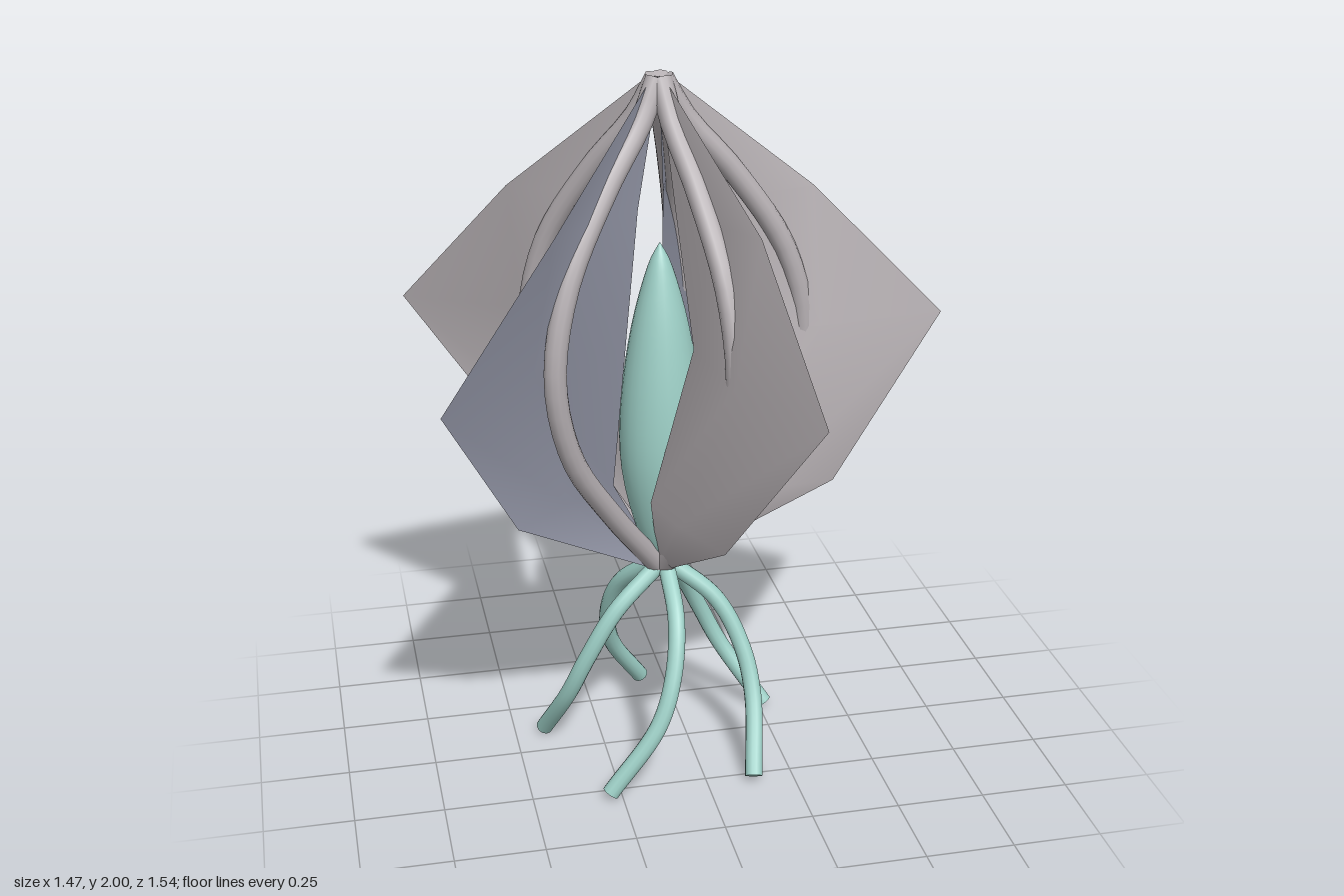
import * as THREE from 'three';
import { mergeGeometries } from 'three/addons/utils/BufferGeometryUtils.js';

const V = (p) => new THREE.Vector3(...p);
const material = (name, color, side = THREE.FrontSide) => {
  const m = new THREE.MeshStandardMaterial({ color, side });
  m.name = name;
  return m;
};

// Round tube along a smooth curve, closed with a disc at each end
function cappedTube(points, radius) {
  const curve = new THREE.CatmullRomCurve3(points.map(V));
  const parts = [new THREE.TubeGeometry(curve, 28, radius, 12)];
  for (const [u, sign] of [[0, -1], [1, 1]]) {
    const disc = new THREE.CircleGeometry(radius, 12);
    const dir = curve.getTangent(u).multiplyScalar(sign);
    disc.applyQuaternion(new THREE.Quaternion().setFromUnitVectors(V([0, 0, 1]), dir));
    const p = curve.getPoint(u);
    parts.push(disc.translate(p.x, p.y, p.z));
  }
  return mergeGeometries(parts);
}

// Twisted sail: rows from top to bottom, each with inner, middle and outer points
function finGeometry() {
  const rows = [
    [[0, 1.99, 0], [0.01, 1.99, 0], [0.03, 1.99, 0]],
    [[0.085, 1.65, 0], [0.26, 1.655, -0.01], [0.44, 1.66, -0.045]],
    [[0.155, 1.28, -0.015], [0.45, 1.28, 0.035], [0.81, 1.28, -0.01]],
    [[0.1, 0.83, 0.09], [0.27, 0.83, 0.1], [0.48, 0.83, 0.08]],
    [[0, 0.58, 0.01], [0.02, 0.58, 0.01], [0.045, 0.58, 0]],
  ];
  const index = [];
  for (let r = 0; r < rows.length - 1; r++) {
    for (let c = 0; c < 2; c++) {
      const a = r * 3 + c;
      index.push(a, a + 3, a + 1, a + 1, a + 3, a + 4);
    }
  }
  const g = new THREE.BufferGeometry();
  g.setAttribute('position', new THREE.Float32BufferAttribute(rows.flat(2), 3));
  g.setIndex(index);
  g.computeVertexNormals();
  return g;
}

export function createModel() {
  const model = new THREE.Group();
  model.name = 'finnedPod';
  const lilac = material('lilacGrey', 0xb5afb2);
  const lilacSheet = material('lilacGreySheet', 0xb5afb2, THREE.DoubleSide);
  const blueSheet = material('blueGreySheet', 0x9093a3, THREE.DoubleSide);
  const teal = material('paleTeal', 0x9ed0c7);

  const plant = new THREE.Group();
  plant.name = 'radialBody';
  plant.position.x = -0.075;
  model.add(plant);

  const add = (name, geometry, mat, angle = 0) => {
    const mesh = new THREE.Mesh(geometry, mat);
    mesh.name = name;
    mesh.rotation.y = -angle;
    plant.add(mesh);
  };

  // Spindle-shaped core
  const profile = new THREE.SplineCurve([
    [0.001, 0.56], [0.065, 0.68], [0.112, 0.88], [0.112, 1.08], [0.08, 1.3], [0.035, 1.47], [0.001, 1.54],
  ].map(([r, y]) => new THREE.Vector2(r, y)));
  add('core', new THREE.LatheGeometry(profile.getPoints(24), 24), teal);

  const fin = finGeometry();
  const rib = cappedTube([
    [0.01, 1.985, 0], [0.07, 1.88, 0], [0.2, 1.73, 0], [0.35, 1.5, 0], [0.405, 1.26, 0],
    [0.35, 1.02, 0], [0.2, 0.8, 0], [0.015, 0.58, 0],
  ], 0.031);
  const tentacle = cappedTube([
    [0.01, 0.58, -0.02], [0.12, 0.47, -0.1], [0.2, 0.33, -0.125], [0.26, 0.2, -0.105], [0.355, 0.015, 0],
  ], 0.025);

  // Five fins with ribs above, five curling tentacles below
  for (let i = 0; i < 5; i++) {
    const angle = (i * Math.PI * 2) / 5;
    add('fin', fin, i === 2 || i === 4 ? blueSheet : lilacSheet, angle);
    add('rib', rib, lilac, angle);
    add('tentacle', tentacle, teal, angle - Math.PI / 2);
  }
  return model;
}
